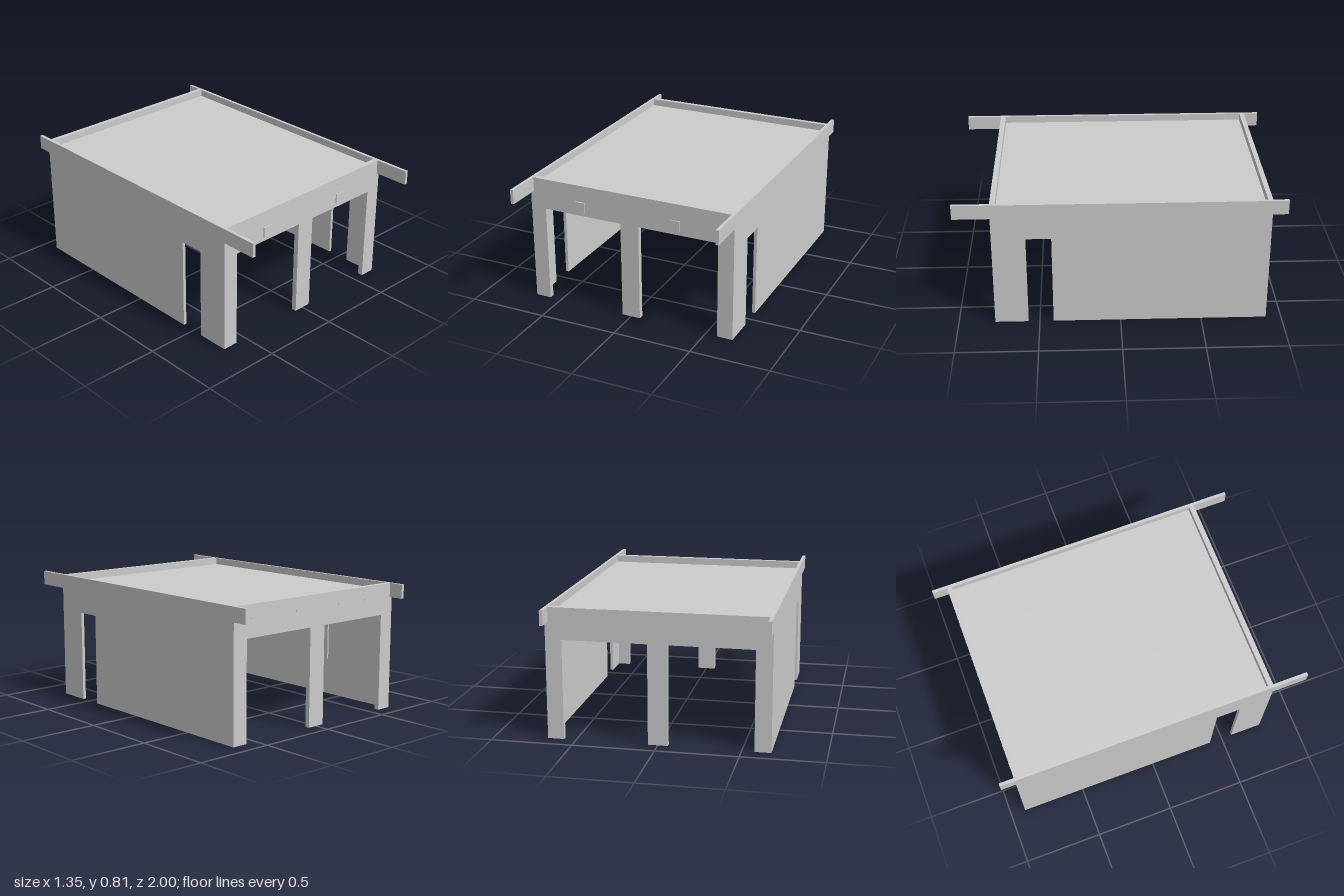
import * as THREE from 'three';

const grey = new THREE.MeshStandardMaterial({ color: 0xcccccc, flatShading: true });
const rollMat = new THREE.MeshStandardMaterial({ color: 0x9fb8b0 });

const W = 0.675, T = 0.02, TOP = 0.81, FRONT = 0.775, BACK = -0.905;

export function createModel() {
  const model = new THREE.Group();

  // box given by its min and max on each axis
  function box(name, x0, x1, y0, y1, z0, z1) {
    const m = new THREE.Mesh(new THREE.BoxGeometry(x1 - x0, y1 - y0, z1 - z0), grey);
    m.position.set((x0 + x1) / 2, (y0 + y1) / 2, (z0 + z1) / 2);
    m.name = name;
    model.add(m);
    return m;
  }

  // upright plate from an outline of [u, y] points, extruded along +z
  function plate(name, pts, depth) {
    const shape = new THREE.Shape(pts.map(p => new THREE.Vector2(p[0], p[1])));
    const geo = new THREE.ExtrudeGeometry(shape, { depth, bevelEnabled: false });
    const m = new THREE.Mesh(geo, grey);
    m.name = name;
    model.add(m);
    return m;
  }

  // front and back walls, each with two door openings
  const E = W - T, D = 0.575, P = 0.06, H = 0.615;
  const gate = [[-E, 0], [-D, 0], [-D, H], [-P, H], [-P, 0], [P, 0], [P, H], [D, H], [D, 0], [E, 0], [E, TOP], [-E, TOP]];
  plate('frontWall', gate, 0.033).position.z = FRONT - 0.033;
  plate('backWall', gate, 0.03).position.z = BACK;

  // side walls with a doorway and a top rail running past both ends
  const side = [[BACK, 0], [0.415, 0], [0.415, 0.58], [0.57, 0.58], [0.57, 0], [FRONT, 0],
    [FRONT, 0.72], [1, 0.72], [1, TOP], [-1, TOP], [-1, 0.72], [BACK, 0.72]];
  for (const s of [-1, 1]) {
    const wall = plate(s > 0 ? 'leftWall' : 'rightWall', side, T);
    wall.rotation.y = -Math.PI / 2;
    wall.position.x = s > 0 ? W : -E;
  }

  // sunken roof deck and the beams beneath it
  box('roofDeck', -E, E, 0.745, 0.765, BACK + 0.03, FRONT - 0.033);
  box('centreBeam', -0.02, 0.02, 0.69, 0.745, BACK + 0.03, FRONT - 0.033);
  for (const s of [-1, 1]) {
    const x = s * (E - 0.0075);
    box('sideBeam', x - 0.0075, x + 0.0075, 0.7, 0.745, BACK + 0.03, FRONT - 0.033);
  }

  // rolled shutters behind every lintel
  for (const s of [-1, 1]) for (const z of [FRONT - 0.09, BACK + 0.085]) {
    const roll = new THREE.Mesh(new THREE.CylinderGeometry(0.053, 0.053, 0.57, 32), rollMat);
    roll.name = 'shutterRoll';
    roll.rotation.z = Math.PI / 2;
    roll.position.set(s * 0.325, 0.662, z);
    model.add(roll);
  }

  // small plates over the front doors
  for (const x of [-0.33, 0.3]) {
    box('doorPlate', x - 0.032, x + 0.032, 0.64, 0.705, FRONT - 0.002, FRONT + 0.007);
  }

  // conduits on the inside of the right wall
  box('conduit', -E, -E + 0.01, 0.24, 0.7, -0.39, -0.38);
  box('conduit', -E, -E + 0.01, 0.23, 0.7, -0.33, -0.32);

  // row of small studs on the back wall
  for (let i = 0; i < 10; i++) {
    const x = -0.54 + i * 0.12;
    box('stud', x - 0.004, x + 0.004, 0.726, 0.734, BACK - 0.002, BACK + 0.002);
  }
  return model;
}
